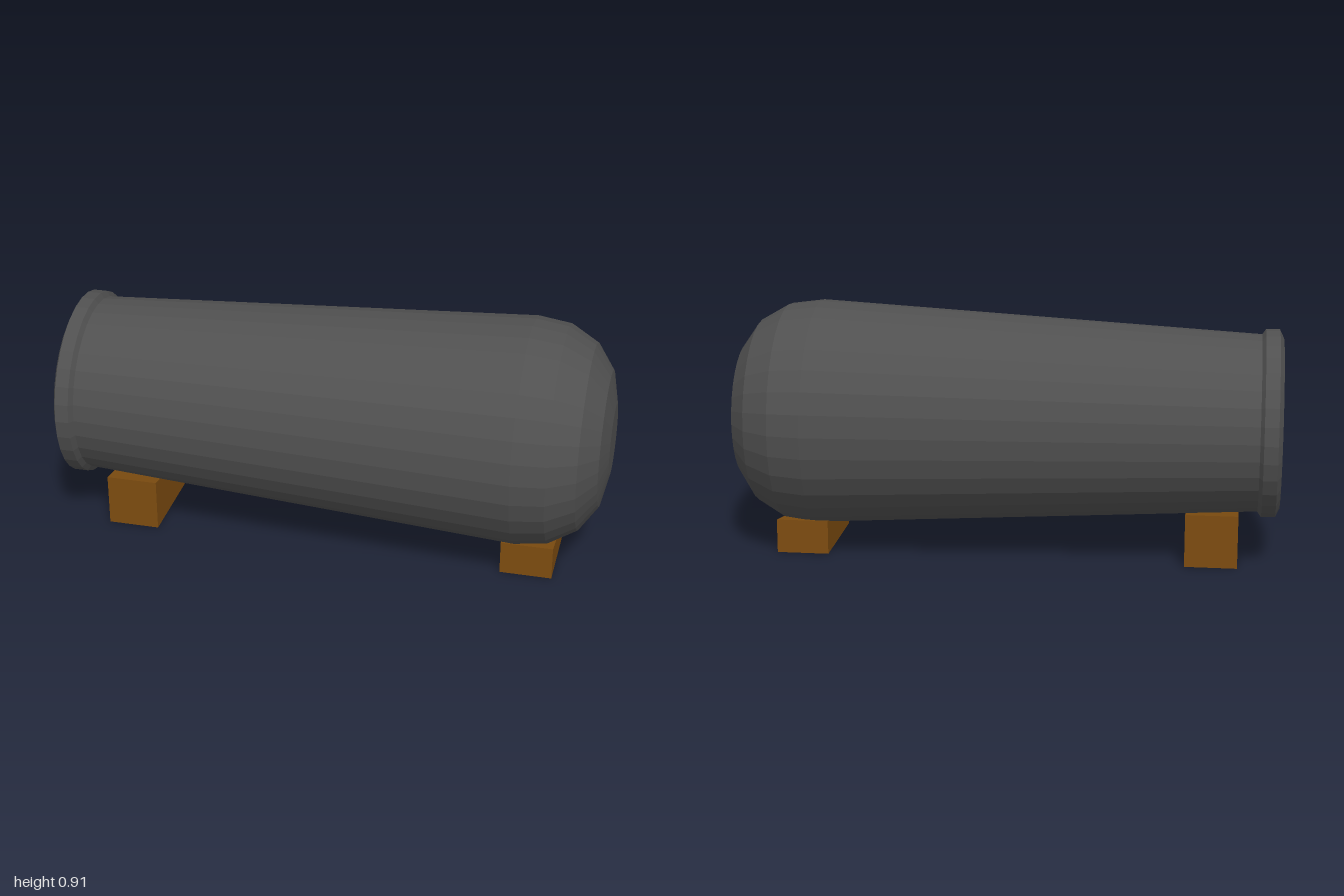
import * as THREE from 'three';

const iron = new THREE.MeshStandardMaterial({ color: 0x505050, flatShading: true });
iron.name = 'dark iron';
const wood = new THREE.MeshStandardMaterial({ color: 0x7d4c10, flatShading: true });
wood.name = 'brown wood';

const AXIS_Y = 0.494;

// Wooden rest with a shallow V cut in its top, extruded along x
function makeSaddle(name, x, edgeY, notchY) {
  const width = 0.19, half = 0.195;
  const shape = new THREE.Shape([
    new THREE.Vector2(-half, 0),
    new THREE.Vector2(half, 0),
    new THREE.Vector2(half, edgeY),
    new THREE.Vector2(0, notchY),
    new THREE.Vector2(-half, edgeY),
  ]);
  const geo = new THREE.ExtrudeGeometry(shape, { depth: width, bevelEnabled: false });
  geo.translate(0, 0, -width / 2).rotateY(Math.PI / 2);
  const mesh = new THREE.Mesh(geo, wood);
  mesh.name = name;
  mesh.position.x = x;
  return mesh;
}

export function createModel() {
  const group = new THREE.Group();
  group.name = 'mortarOnRests';

  // Barrel as one turned profile [radius, x]: bore, muzzle ring, taper, rounded breech
  const profile = [
    [0, 0.5], [0.175, 0.5], [0.175, -1],
    [0.31, -1], [0.341, -0.985], [0.341, -0.935], [0.322, -0.922],
    [0.414, 0.69], [0.398, 0.81], [0.34, 0.91], [0.247, 0.975], [0.13, 1], [0, 1],
  ].map(([r, x]) => new THREE.Vector2(r, x));
  const barrelGeo = new THREE.LatheGeometry(profile, 32);
  barrelGeo.rotateZ(-Math.PI / 2);
  const barrel = new THREE.Mesh(barrelGeo, iron);
  barrel.name = 'barrel';
  barrel.position.y = AXIS_Y;
  group.add(barrel);

  // Rests under the muzzle and the breech
  group.add(makeSaddle('muzzleRest', -0.76, 0.195, 0.16));
  group.add(makeSaddle('breechRest', 0.735, 0.125, 0.09));

  return group;
}
